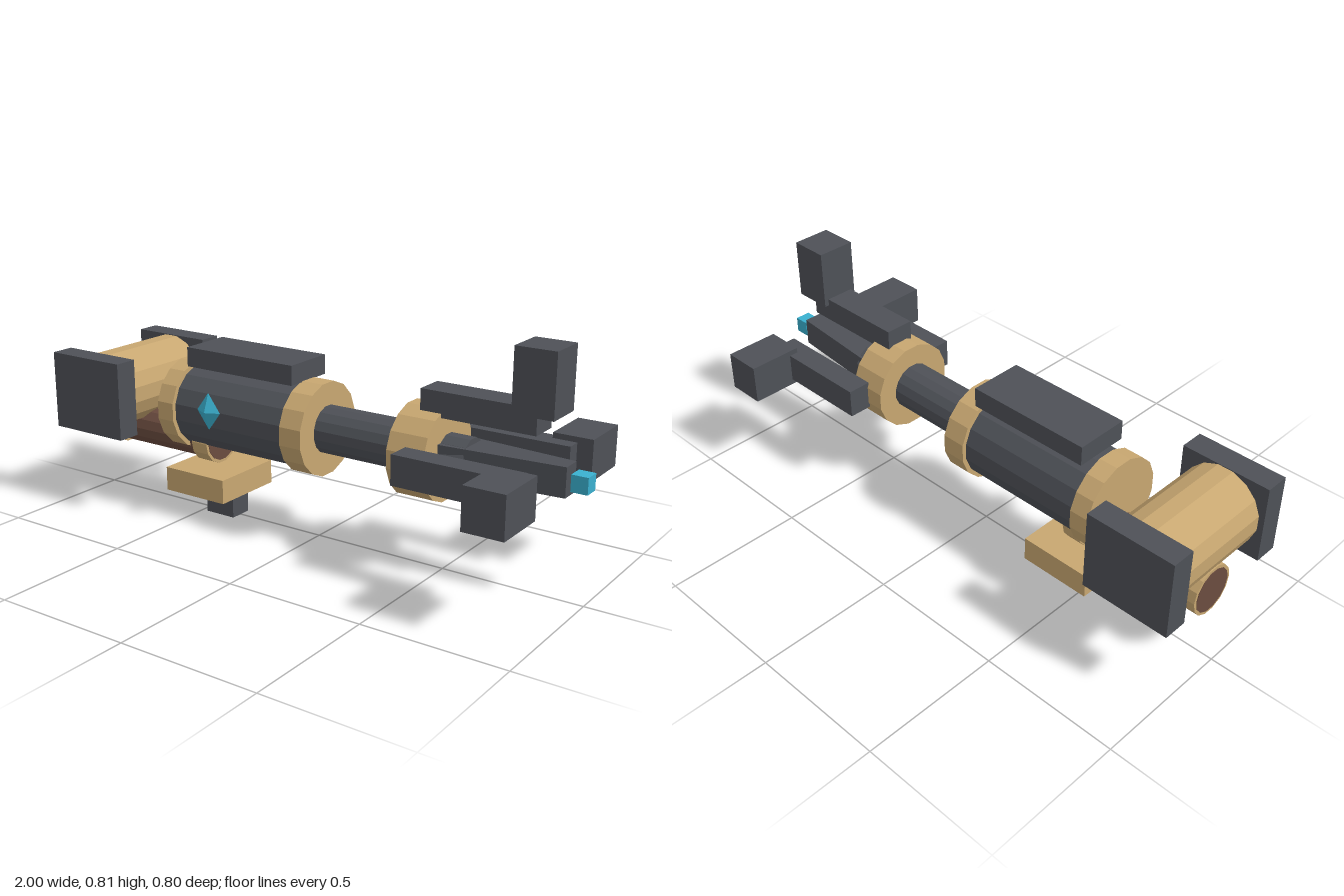
import * as THREE from 'three';

function material(name, color) {
  const m = new THREE.MeshStandardMaterial({ color, flatShading: true });
  m.name = name;
  return m;
}

export function createModel() {
  const model = new THREE.Group();
  model.name = 'cannon';
  const tan = material('tan', 0xc8a771);
  const dark = material('darkGrey', 0x4e5157);
  const brown = material('brown', 0x6b4c3f);
  const cyan = material('cyan', 0x3ab0cf);
  const AXIS_Y = 0.402;

  function add(name, geometry, mat) {
    const mesh = new THREE.Mesh(geometry, mat);
    mesh.name = name;
    model.add(mesh);
    return mesh;
  }

  // Box given by its limits on each axis
  function box(name, mat, [x0, x1], [y0, y1], [z0, z1]) {
    const g = new THREE.BoxGeometry(x1 - x0, y1 - y0, z1 - z0);
    g.translate((x0 + x1) / 2, (y0 + y1) / 2, (z0 + z1) / 2);
    return add(name, g, mat);
  }

  // Cylinder along x with a flat facet at the bottom
  function tube(name, mat, x0, x1, radius, sides = 16, y = AXIS_Y) {
    const g = new THREE.CylinderGeometry(radius, radius, x1 - x0, sides);
    g.rotateY(Math.PI / 2 + Math.PI / sides);
    g.rotateZ(-Math.PI / 2);
    g.translate((x0 + x1) / 2, y, 0);
    return add(name, g, mat);
  }

  // Main body, barrel and collars
  tube('body', dark, -0.56, -0.01, 0.151);
  tube('rearCollar', tan, -0.595, -0.525, 0.167);
  tube('middleCollar', tan, -0.05, 0.037, 0.167);
  tube('barrel', dark, 0, 0.42, 0.085);
  tube('frontCollar', tan, 0.37, 0.507, 0.16);
  tube('muzzle', dark, 0.45, 0.597, 0.072, 12);
  box('topPlate', dark, [-0.505, -0.045], [0.563, 0.633], [-0.098, 0.098]);

  // Lower tube with end bands
  tube('lowerTube', brown, -0.967, -0.434, 0.079, 14, 0.278);
  tube('lowerRearBand', tan, -0.965, -0.895, 0.09, 14, 0.278);
  tube('lowerFrontBand', tan, -0.505, -0.436, 0.09, 14, 0.278);

  // Cross drum with side plates
  const drum = new THREE.CylinderGeometry(0.142, 0.142, 0.4, 16);
  drum.rotateY(Math.PI / 16);
  drum.rotateX(Math.PI / 2);
  drum.translate(-0.84, 0.438, 0);
  add('drum', drum, tan);
  box('leftDrumPlate', dark, [-1, -0.68], [0.297, 0.58], [0.189, 0.275]);
  box('rightDrumPlate', dark, [-1, -0.68], [0.297, 0.58], [-0.275, -0.189]);

  // Mount under the body
  box('mountBlock', tan, [-0.585, -0.32], [0.091, 0.179], [-0.142, 0.142]);
  box('mountFoot', dark, [-0.478, -0.355], [0, 0.091], [-0.044, 0.044]);

  // Prongs around the muzzle
  box('topProngArm', dark, [0.43, 0.835], [0.536, 0.622], [-0.053, 0.053]);
  box('topProngTip', dark, [0.757, 0.897], [0.597, 0.81], [-0.07, 0.07]);
  for (const [side, s] of [['left', 1], ['right', -1]]) {
    const span = (a, b) => (s > 0 ? [a, b] : [-b, -a]);
    box(side + 'ProngArm', dark, [0.437, 0.86], [0.35, 0.453], span(0.151, 0.237));
    box(side + 'ProngTip', dark, [0.775, 0.915], [0.33, 0.472], span(0.203, 0.4));
  }

  // Central rod, narrowing sideways towards the tip
  const rod = new THREE.BoxGeometry(0.425, 0.1, 0.14);
  const p = rod.attributes.position;
  for (let i = 0; i < p.count; i++) if (p.getX(i) > 0) p.setZ(i, p.getZ(i) * 0.5);
  rod.computeVertexNormals();
  rod.translate(0.7195, AXIS_Y, 0);
  add('centralRod', rod, dark);

  // Glowing tip and side gem
  box('energyTip', cyan, [0.944, 1], [0.374, 0.43], [-0.028, 0.028]);
  const gem = add('sideGem', new THREE.OctahedronGeometry(1), cyan);
  gem.scale.set(0.051, 0.067, 0.025);
  gem.position.set(-0.346, 0.441, 0.177);

  return model;
}
